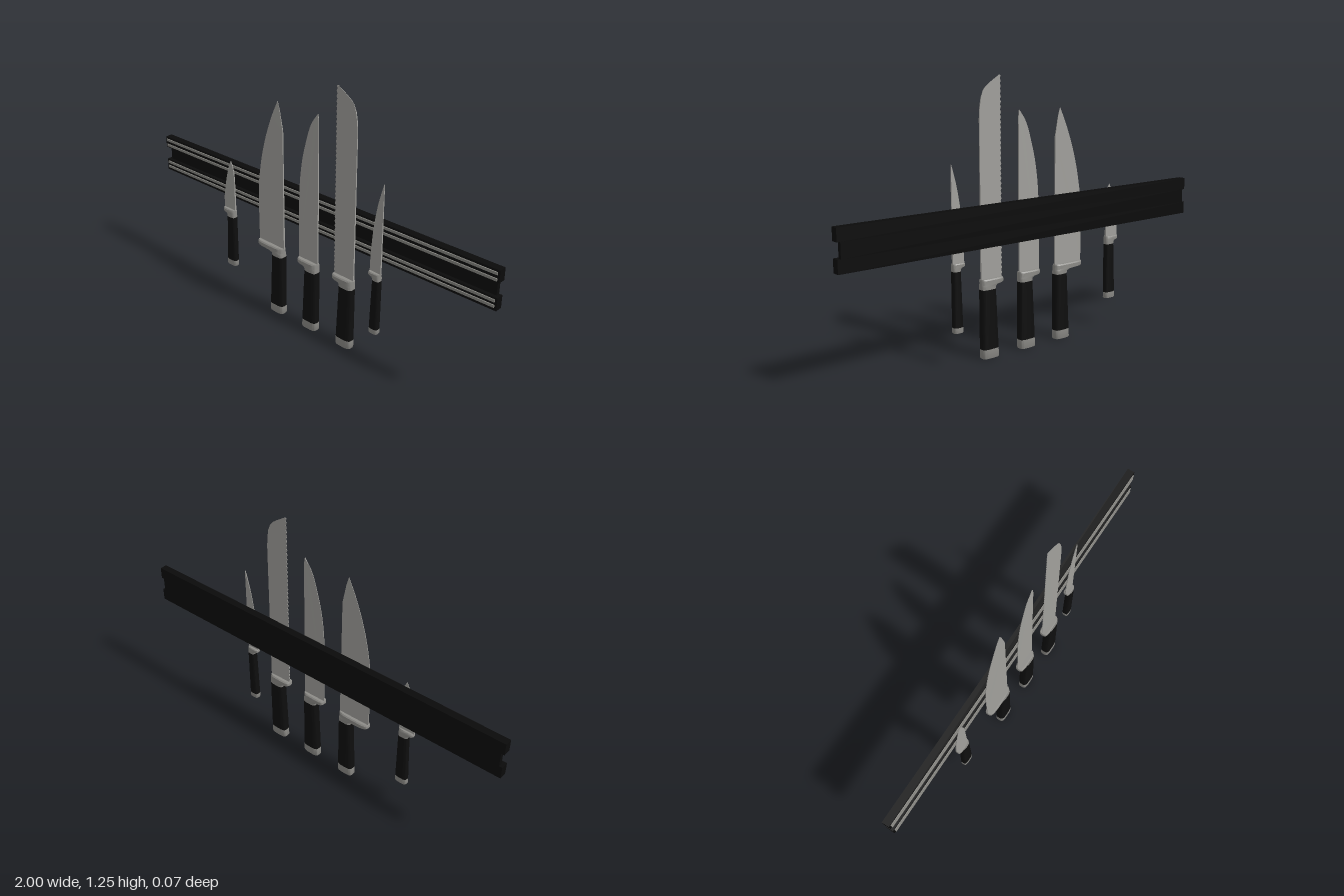
import * as THREE from 'three';
import { toCreasedNormals } from 'three/addons/utils/BufferGeometryUtils.js';

const material = (name, color) => {
  const m = new THREE.MeshStandardMaterial({ color });
  m.name = name;
  return m;
};

const ZC = 0.0145; // depth of the knives' middle plane

// Solid through rounded cross-sections [y, left, right, halfDepth], bottom to top
function loft(sections, n = 28) {
  const pos = [], idx = [];
  const soft = (v) => Math.sign(v) * Math.pow(Math.abs(v), 0.55);
  for (const [y, l, r, hz] of sections) {
    for (let i = 0; i < n; i++) {
      const a = (i / n) * Math.PI * 2;
      pos.push((l + r) / 2 + ((r - l) / 2) * soft(Math.cos(a)), y, ZC + hz * soft(Math.sin(a)));
    }
  }
  const last = sections.length - 1;
  for (let s = 0; s < last; s++) {
    for (let i = 0; i < n; i++) {
      const a = s * n + i, b = s * n + ((i + 1) % n), c = a + n, d = b + n;
      idx.push(a, c, b, b, c, d);
    }
  }
  for (const s of [0, last]) {
    const [y, l, r] = sections[s];
    const centre = pos.length / 3;
    pos.push((l + r) / 2, y, ZC);
    for (let i = 0; i < n; i++) {
      const a = s * n + i, b = s * n + ((i + 1) % n);
      if (s === 0) idx.push(centre, a, b);
      else idx.push(centre, b, a);
    }
  }
  const g = new THREE.BufferGeometry();
  g.setAttribute('position', new THREE.Float32BufferAttribute(pos, 3));
  g.setIndex(idx);
  return toCreasedNormals(g, 0.6);
}

// Flat blade: cutting edge on the left, thick spine on the right, thinning to the tip
function blade({ edge, spine, right, teeth }, base) {
  const pts = new THREE.SplineCurve(edge.map((p) => new THREE.Vector2(...p))).getPoints(28);
  const outline = [new THREE.Vector2(right, base)];
  if (teeth) {
    const [x, y0] = edge[0], y1 = edge[edge.length - 1][1];
    for (let i = 0; i <= teeth; i++) {
      const y = y0 + ((y1 - y0) * i) / teeth;
      outline.push(new THREE.Vector2(x, y));
      if (i < teeth) outline.push(new THREE.Vector2(x + 0.005, y + ((y1 - y0) / teeth) * 0.5));
    }
  } else outline.push(...pts);
  outline.push(...spine.map((p) => new THREE.Vector2(...p)));
  const g = new THREE.ExtrudeGeometry(new THREE.Shape(outline), { depth: 1, bevelEnabled: false });
  const p = g.attributes.position;
  const top = Math.max(...outline.map((v) => v.y));
  for (let i = 0; i < p.count; i++) {
    const t = (p.getY(i) - base) / (top - base);
    const half = (0.0042 - 0.0022 * t) * (p.getX(i) > right - 0.012 ? 1 : 0.45);
    p.setZ(i, ZC - 0.002 + (p.getZ(i) - 0.5) * 2 * half);
  }
  g.computeVertexNormals();
  return g;
}

// edge: heel to tip; spine: after the tip, downwards
const KNIVES = [
  { name: 'paringKnife', right: -0.473, lip: -0.55, top: 0.455, grip: 0.415, bottom: 0.14, cap: 0.17,
    gripTop: -0.522, gripEnd: -0.535, depth: 0.0165,
    edge: [[-0.55, 0.45], [-0.548, 0.52], [-0.53, 0.61], [-0.512, 0.675], [-0.495, 0.715]],
    spine: [[-0.484, 0.695], [-0.476, 0.66], [-0.473, 0.62]] },
  { name: 'chefKnife', right: -0.14, lip: -0.305, top: 0.365, grip: 0.318, bottom: 0, cap: 0.043,
    gripTop: -0.208, gripEnd: -0.226, depth: 0.0235,
    edge: [[-0.304, 0.36], [-0.303, 0.62], [-0.286, 0.76], [-0.255, 0.89], [-0.212, 1.01], [-0.17, 1.1]],
    spine: [[-0.158, 1.06], [-0.14, 0.965]] },
  { name: 'carvingKnife', right: 0.075, lip: -0.043, top: 0.365, grip: 0.318, bottom: 0, cap: 0.043,
    gripTop: 0.004, gripEnd: -0.013, depth: 0.0235,
    edge: [[-0.042, 0.36], [-0.04, 0.68], [-0.025, 0.84], [0.003, 0.96], [0.032, 1.045], [0.071, 1.1]],
    spine: [[0.075, 1.07]] },
  { name: 'breadKnife', right: 0.29, lip: 0.172, top: 0.365, grip: 0.318, bottom: 0, cap: 0.043,
    gripTop: 0.215, gripEnd: 0.2, depth: 0.0235, teeth: 40,
    edge: [[0.173, 0.36], [0.173, 1.25]],
    spine: [[0.18, 1.254], [0.22, 1.23], [0.252, 1.208], [0.268, 1.19], [0.28, 1.16], [0.287, 1.12], [0.29, 1.07]] },
  { name: 'utilityKnife', right: 0.44, lip: 0.378, top: 0.46, grip: 0.425, bottom: 0.15, cap: 0.175,
    gripTop: 0.402, gripEnd: 0.392, depth: 0.0165,
    edge: [[0.379, 0.455], [0.382, 0.55], [0.393, 0.68], [0.413, 0.795], [0.439, 0.888]],
    spine: [[0.44, 0.86]] },
];

export function createModel() {
  const model = new THREE.Group();
  const black = material('rackBlack', 0x0a0a0a);
  const grip = material('gripBlack', 0x0e0e0e);
  const steel = material('bladeSteel', 0xa09f9b);
  const bolsterSteel = material('bolsterSteel', 0x8c8b87);
  const stripGrey = material('magnetGrey', 0x85847f);

  const add = (parent, name, geometry, mat) => {
    const mesh = new THREE.Mesh(geometry, mat);
    mesh.name = name;
    parent.add(mesh);
  };
  const box = (parent, name, mat, x, y0, y1, z0, z1) => {
    const g = new THREE.BoxGeometry(x * 2, y1 - y0, z1 - z0);
    g.translate(0, (y0 + y1) / 2, (z0 + z1) / 2);
    add(parent, name, g, mat);
  };

  // Wall rack: recessed web, two rails, two magnetic strips on each rail
  const rack = new THREE.Group();
  rack.name = 'wallRack';
  model.add(rack);
  box(rack, 'rackWeb', black, 0.985, 0.575, 0.643, -0.035, -0.016);
  box(rack, 'upperRail', black, 1, 0.643, 0.7, -0.035, 0.001);
  box(rack, 'lowerRail', black, 1, 0.516, 0.575, -0.035, 0.001);
  for (const y of [0.684, 0.656, 0.561, 0.536]) {
    box(rack, 'magnetStrip', stripGrey, 0.99, y - 0.006, y + 0.006, -0.004, 0.006);
  }

  for (const k of KNIVES) {
    const knife = new THREE.Group();
    knife.name = k.name;
    model.add(knife);
    const { right: r, depth: d, top, grip: g } = k;
    const h = top - g;
    // Left side of the handle at a given height
    const left = (y) => THREE.MathUtils.mapLinear(y, k.bottom, g, k.gripEnd, k.gripTop);

    add(knife, 'blade', blade(k, top - 0.005), steel);
    // Bolster: wide lip under the heel, narrowing to the handle
    add(knife, 'bolster', loft([
      [g, k.gripTop, r, d],
      [g + h * 0.25, k.gripTop - 0.002, r, d],
      [g + h * 0.42, THREE.MathUtils.lerp(k.gripTop, k.lip, 0.25), r, d],
      [g + h * 0.5, k.lip + 0.006, r, d],
      [g + h * 0.6, k.lip, r, d],
      [g + h * 0.88, k.lip, r, d],
      [top, k.lip + 0.002, r, d * 0.8],
    ]), bolsterSteel);
    add(knife, 'handle', loft([
      [k.cap, left(k.cap), r, d],
      [g, k.gripTop, r, d],
    ]), grip);
    add(knife, 'endCap', loft([
      [k.bottom, k.gripEnd + 0.002, r - 0.002, d * 0.94],
      [k.bottom + 0.004, k.gripEnd, r, d],
      [k.cap, left(k.cap), r, d],
    ]), bolsterSteel);
  }
  return model;
}
